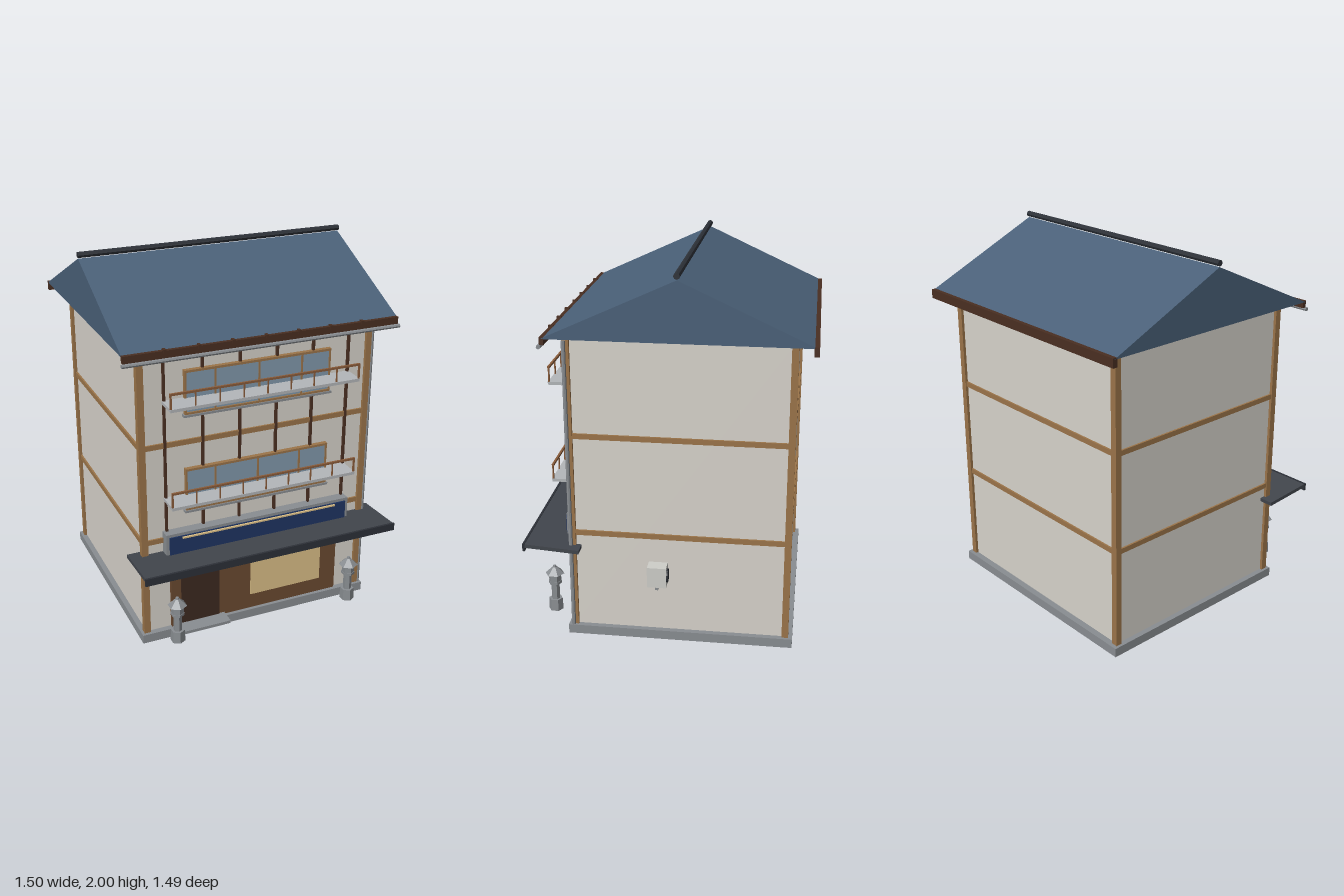
import * as THREE from 'three';

const mat = (color) => new THREE.MeshStandardMaterial({ color, flatShading: true });
const M = {
  wall: mat(0xd8d4cc), wood: mat(0x9c754a), darkWood: mat(0x4a2f22), door: mat(0x3d2920),
  shop: mat(0x6b4a30), glass: mat(0x8299ad), glow: mat(0xdcc088), stone: mat(0x8a8e92),
  pale: mat(0xb4b7ba), navy: mat(0x1f3563), roof: mat(0x4a6078), ridge: mat(0x2d3138),
  awning: mat(0x42464d), unit: mat(0xcfcfca), rail: mat(0x8a5c3a),
};

export function createModel() {
  const model = new THREE.Group();
  const add = (parent, name, geo, material, x = 0, y = 0, z = 0) => {
    const mesh = new THREE.Mesh(geo, material);
    mesh.name = name;
    mesh.position.set(x, y, z);
    parent.add(mesh);
    return mesh;
  };
  // Box given by its limits on each axis
  const box = (parent, name, material, x0, x1, y0, y1, z0, z1) =>
    add(parent, name, new THREE.BoxGeometry(x1 - x0, y1 - y0, z1 - z0), material,
      (x0 + x1) / 2, (y0 + y1) / 2, (z0 + z1) / 2);
  const group = (name, x = 0, y = 0, z = 0) => {
    const g = new THREE.Group();
    g.name = name;
    g.position.set(x, y, z);
    model.add(g);
    return g;
  };

  // Plinth and walls
  box(model, 'plinth', M.stone, -0.665, 0.665, 0, 0.05, -0.67, 0.525);
  box(model, 'walls', M.wall, -0.635, 0.635, 0.05, 1.66, -0.635, 0.492);

  // Timber frame: corner posts and floor bands
  const frame = group('timberFrame');
  for (const s of [-1, 1]) {
    for (const z of [-0.632, 0.491]) {
      box(frame, 'cornerPost', M.wood, s * 0.6325 - 0.0175, s * 0.6325 + 0.0175, 0.05, 1.66, z - 0.0175, z + 0.0175);
    }
  }
  for (const y of [0.592, 1.129]) {
    box(frame, 'frontBand', M.wood, -0.62, 0.62, y - 0.014, y + 0.014, 0.485, 0.502);
    box(frame, 'backBand', M.wood, -0.62, 0.62, y - 0.014, y + 0.014, -0.645, -0.63);
    for (const s of [-1, 1]) {
      box(frame, 'sideBand', M.wood, s * 0.637 - 0.008, s * 0.637 + 0.008, y - 0.014, y + 0.014, -0.62, 0.48);
    }
  }
  for (let i = 0; i < 6; i++) {
    const x = -0.51 + i * 0.2045;
    box(frame, 'facadeSlat', M.darkWood, x - 0.006, x + 0.006, 0.6, 1.64, 0.488, 0.508);
  }

  // Gable roof as a solid prism along x
  const gable = new THREE.Shape([
    new THREE.Vector2(-0.592, 1.66), new THREE.Vector2(0.74, 1.66), new THREE.Vector2(0.074, 1.965),
  ]);
  const roofGeo = new THREE.ExtrudeGeometry(gable, { depth: 1.486, bevelEnabled: false });
  roofGeo.translate(0, 0, -0.743).rotateY(Math.PI / 2);
  add(model, 'roof', roofGeo, M.roof);
  const ridge = add(model, 'ridgeCap', new THREE.CylinderGeometry(0.016, 0.016, 1.49, 8), M.ridge, 0, 1.984, -0.073);
  ridge.rotation.z = Math.PI / 2;
  box(model, 'frontFascia', M.darkWood, -0.743, 0.743, 1.63, 1.668, 0.573, 0.595);
  box(model, 'backFascia', M.darkWood, -0.743, 0.743, 1.62, 1.668, -0.745, -0.72);
  const gutter = add(model, 'gutter', new THREE.CylinderGeometry(0.011, 0.011, 1.5, 8), M.stone, 0, 1.621, 0.598);
  gutter.rotation.z = Math.PI / 2;
  for (let i = -3; i <= 3; i++) {
    box(model, 'rafterEnd', M.darkWood, i * 0.178 - 0.007, i * 0.178 + 0.007, 1.655, 1.675, 0.575, 0.6);
  }
  add(model, 'downpipe', new THREE.CylinderGeometry(0.011, 0.011, 1.58, 8), M.stone, 0.652, 0.84, 0.5);

  // Window and balcony repeated on both upper floors
  for (const y of [0.82, 1.356]) {
    const win = group('window', 0, y - 0.075);
    box(win, 'pane', M.glass, -0.4, 0.4, 0.005, 0.235, 0.49, 0.509);
    for (const h of [0.008, 0.232]) box(win, 'frameRail', M.wood, -0.405, 0.405, h - 0.006, h + 0.006, 0.49, 0.517);
    for (const x of [-0.4, -0.24, 0, 0.24, 0.4]) {
      box(win, 'mullion', M.wood, x - 0.005, x + 0.005, 0.005, 0.235, 0.49, 0.514);
    }
    box(win, 'sill', M.stone, -0.413, 0.413, -0.009, 0.003, 0.49, 0.523);

    const balcony = group('balcony', 0, y);
    box(balcony, 'balconyFloor', M.pale, -0.52, 0.52, 0, 0.016, 0.495, 0.62);
    box(balcony, 'handrail', M.rail, -0.52, 0.52, 0.087, 0.098, 0.608, 0.619);
    for (let i = -4; i <= 4; i++) {
      const w = Math.abs(i) === 4 ? 0.005 : 0.003;
      box(balcony, 'railPost', M.rail, i * 0.129 - w, i * 0.129 + w, 0.016, 0.09, 0.61, 0.617);
    }
  }

  // Shopfront
  const shop = group('shopfront');
  box(shop, 'shopPanel', M.shop, -0.495, 0.49, 0.055, 0.46, 0.48, 0.512);
  box(shop, 'door', M.door, -0.44, -0.222, 0.06, 0.44, 0.5, 0.518);
  box(shop, 'displayWindow', M.glow, -0.035, 0.39, 0.143, 0.43, 0.5, 0.518);
  box(shop, 'doorStep', M.stone, -0.47, -0.19, 0.05, 0.067, 0.5, 0.6);

  // Sign board with a light bar and no lettering
  const sign = group('signBoard');
  box(sign, 'signCasing', M.stone, -0.53, 0.53, 0.445, 0.643, 0.49, 0.548);
  box(sign, 'signFace', M.navy, -0.513, 0.513, 0.458, 0.627, 0.52, 0.555);
  box(sign, 'lightBar', M.glow, -0.445, 0.445, 0.615, 0.623, 0.55, 0.565);

  // Door curtain in three strips, with a small lamp
  for (let i = -1; i <= 1; i++) {
    box(model, 'curtainStrip', M.navy, i * 0.261 - 0.128, i * 0.261 + 0.128, 0.373, 0.448, 0.55, 0.555);
  }
  box(model, 'entranceLamp', M.pale, -0.014, 0.014, 0.42, 0.445, 0.553, 0.565);

  // Tilted awning with a front lip
  const awning = box(model, 'awning', M.awning, -0.712, 0.712, 0.509, 0.529, 0.447, 0.74);
  awning.rotation.x = -0.068;
  box(model, 'awningLip', M.ridge, -0.715, 0.715, 0.5, 0.541, 0.733, 0.745);

  // Pair of stone lanterns: radius top, radius bottom, y bottom, y top
  const tiers = [
    [0.037, 0.04, 0.053, 0.118], [0.023, 0.023, 0.118, 0.215],
    [0.037, 0.037, 0.212, 0.226], [0.034, 0.034, 0.226, 0.272],
    [0.012, 0.052, 0.27, 0.308], [0.008, 0.01, 0.308, 0.318],
  ];
  for (const s of [-1, 1]) {
    const lantern = group('stoneLantern', s * 0.508, 0, 0.632);
    for (const [rt, rb, y0, y1] of tiers) {
      add(lantern, 'lanternTier', new THREE.CylinderGeometry(rt, rb, y1 - y0, 6), M.stone, 0, (y0 + y1) / 2, 0);
    }
  }

  // Ventilation unit on the left wall, fan facing the back
  const unit = group('ventilationUnit', 0.67, 0.387, 0.04);
  box(unit, 'unitCase', M.unit, -0.04, 0.038, -0.056, 0.056, -0.05, 0.05);
  const fan = add(unit, 'fan', new THREE.CylinderGeometry(0.036, 0.036, 0.012, 16), M.ridge, 0, 0, -0.051);
  fan.rotation.x = Math.PI / 2;
  box(unit, 'unitBracket', M.stone, -0.04, 0.038, -0.07, -0.056, -0.008, 0.008);

  return model;
}
